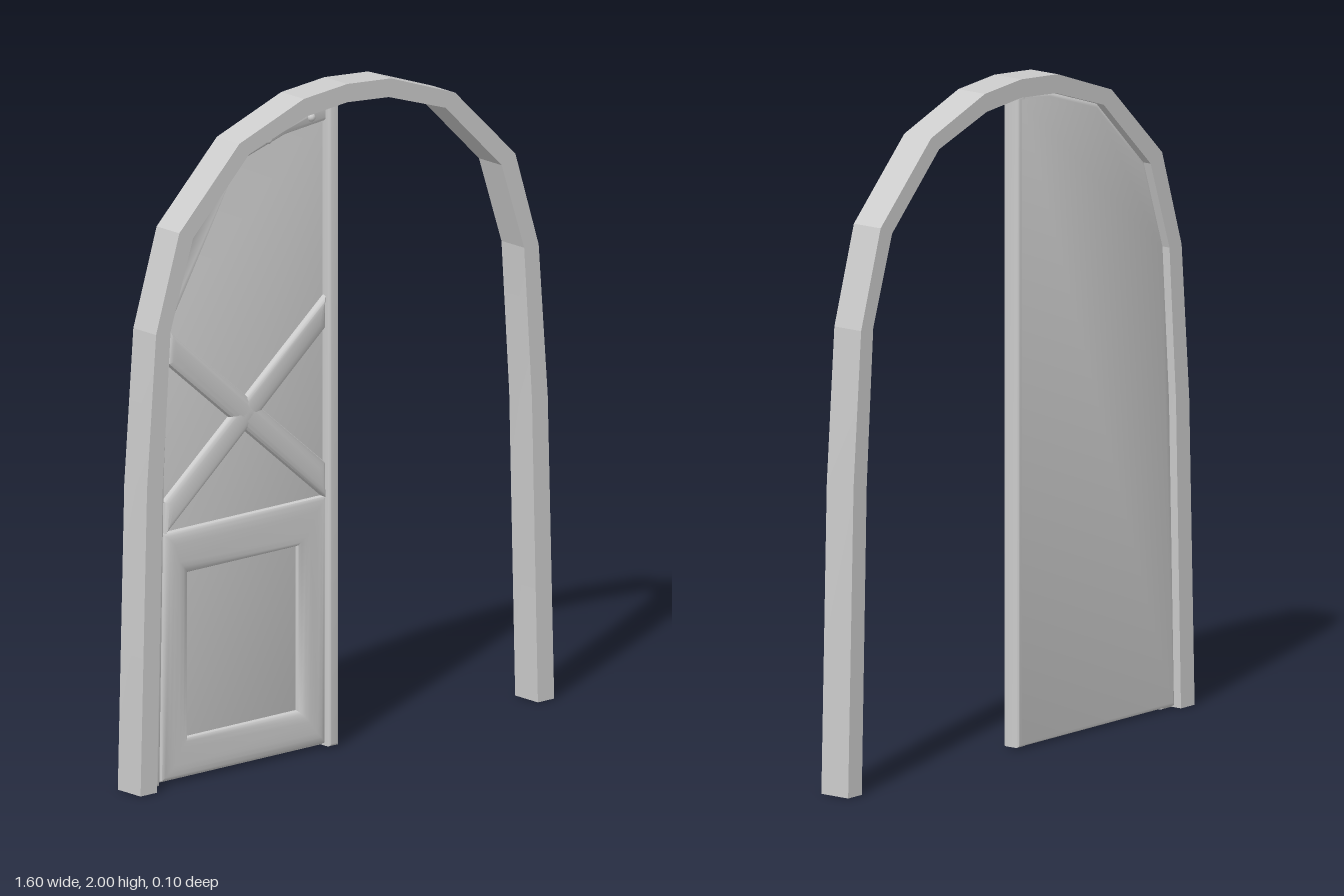
import * as THREE from 'three';
import { toCreasedNormals } from 'three/addons/utils/BufferGeometryUtils.js';

const material = new THREE.MeshStandardMaterial({ color: 0xcccccc });

// Half profiles of the arch, from the foot to the crown
const outerHalf = [[0.8, 0], [0.775, 0.92], [0.74, 1.38], [0.65, 1.67], [0.417, 1.897], [0.168, 1.986], [0, 2]];
const innerHalf = [[0.737, 0], [0.714, 0.92], [0.684, 1.38], [0.597, 1.645], [0.38, 1.858], [0.16, 1.931], [0, 1.945]];
// Door edge against the arch, and the inner edge of its riveted band
const doorEdge = innerHalf.map(([x, y]) => [Math.min(-x, -0.015), y]);
const bandEdge = [[-0.685, 0], [-0.668, 0.92], [-0.645, 1.37], [-0.58, 1.63], [-0.36, 1.83], [-0.2, 1.875], [-0.03, 1.89]];

const mirror = (pts) => pts.map(([x, y]) => [-x, y]);
const toShape = (pts) => new THREE.Shape(pts.map(([x, y]) => new THREE.Vector2(x, y)));

// Extrudes a shape from z0 to z1; a bevel stays inside the outline
function plate(name, shape, z0, z1, bevel = 0, thickness = 0, segments = 1) {
  let geometry = new THREE.ExtrudeGeometry(shape, {
    depth: z1 - z0 - 2 * thickness,
    bevelEnabled: bevel > 0,
    bevelSize: bevel,
    bevelThickness: thickness,
    bevelOffset: -bevel,
    bevelSegments: segments,
  });
  geometry.translate(0, 0, z0 + thickness);
  geometry = toCreasedNormals(geometry, bevel > 0 ? 0.75 : 0.1);
  const mesh = new THREE.Mesh(geometry, material);
  mesh.name = name;
  return mesh;
}

export function createModel() {
  const model = new THREE.Group();
  model.name = 'archedDoorway';

  // Faceted stone arch
  const outer = [...outerHalf, ...mirror(outerHalf.slice(0, -1)).reverse()];
  const inner = [...innerHalf, ...mirror(innerHalf.slice(0, -1)).reverse()];
  model.add(plate('archFrame', toShape([...outer, ...inner.reverse()]), -0.05, 0.05));

  const door = new THREE.Group();
  door.name = 'doorLeaf';
  model.add(door);

  // Back panel with softened edges
  const leaf = [...doorEdge, [-0.015, 0.005], [-0.737, 0.005]];
  door.add(plate('doorPanel', toShape(leaf.slice(1)), -0.03, -0.005, 0.012, 0.01, 3));

  // Band following the arch
  const band = toShape([...doorEdge, ...[...bandEdge].reverse()]);
  door.add(plate('rivetBand', band, -0.024, 0.008, 0.012, 0.01, 3));

  // Upright along the meeting edge
  const stile = toShape([[-0.047, 0.005], [-0.01, 0.005], [-0.01, 1.942], [-0.047, 1.942]]);
  door.add(plate('meetingStile', stile, -0.03, 0.025, 0.008, 0.008, 3));

  // Lower moulding around a sunken field
  const moulding = toShape([[-0.68, 0.012], [-0.045, 0.012], [-0.045, 0.76], [-0.675, 0.76]]);
  moulding.holes.push(new THREE.Path([[-0.577, 0.13], [-0.577, 0.625], [-0.153, 0.625], [-0.153, 0.13]]
    .map(([x, y]) => new THREE.Vector2(x, y))));
  door.add(plate('lowerMoulding', moulding, -0.025, 0.015, 0.04, 0.016, 4));

  // Crossed braces
  const braces = [
    [[-0.655, 1.265], [-0.045, 0.75], [-0.045, 0.86], [-0.65, 1.37]],
    [[-0.67, 0.75], [-0.045, 1.265], [-0.045, 1.365], [-0.67, 0.855]],
  ];
  for (const pts of braces) door.add(plate('crossBrace', toShape(pts), -0.025, 0.015, 0.03, 0.016, 3));

  // Rivets along the band
  const rivets = [[-0.722, 0.16], [-0.717, 0.365], [-0.712, 0.56], [-0.706, 0.745], [-0.698, 0.974], [-0.688, 1.18],
    [-0.67, 1.386], [-0.617, 1.545], [-0.537, 1.68], [-0.431, 1.79], [-0.27, 1.873], [-0.103, 1.91]];
  const rivetGeometry = new THREE.SphereGeometry(0.013, 10, 8);
  for (const [x, y] of rivets) {
    const rivet = new THREE.Mesh(rivetGeometry, material);
    rivet.name = 'rivet';
    rivet.position.set(x, y, 0.008);
    door.add(rivet);
  }

  return model;
}
